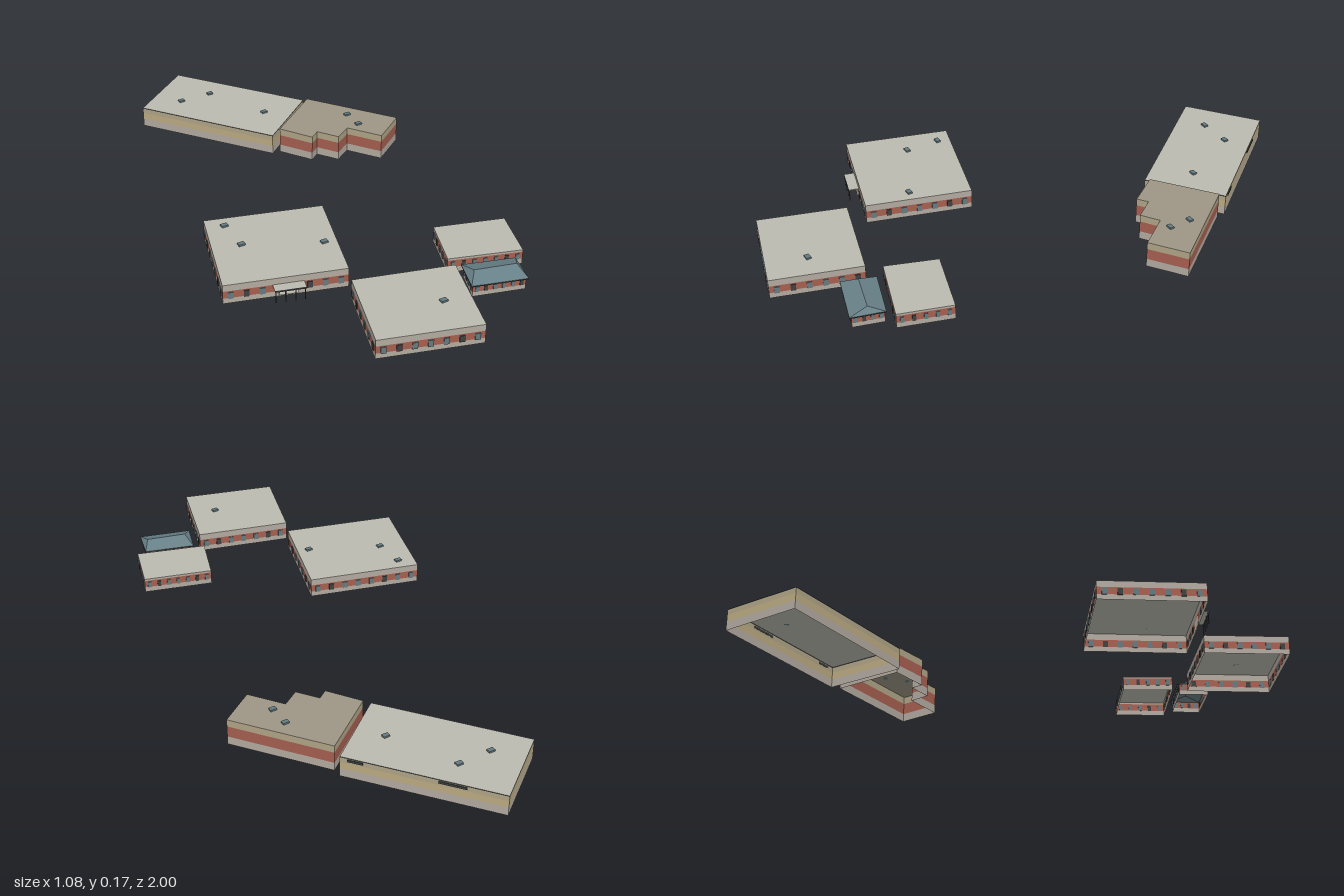
import * as THREE from 'three';

const mat = (name, color, double = true) => {
  const m = new THREE.MeshStandardMaterial({ color, side: double ? THREE.DoubleSide : THREE.FrontSide });
  m.name = name;
  return m;
};

export function createModel() {
  const M = {
    wall: mat('wallGrey', 0xb2aaa0),
    brick: mat('brickRed', 0xa65f50),
    tan: mat('tan', 0xbcab82),
    khaki: mat('khaki', 0xb0a487),
    roof: mat('roofGrey', 0xbbbab0),
    brownRoof: mat('roofBrown', 0x9d9686),
    slate: mat('slateBlue', 0x688087),
    glass: mat('windowGlass', 0x647a80),
    dark: mat('darkTrim', 0x3f4242),
    white: mat('entranceWhite', 0xcfcdc2),
  };
  const model = new THREE.Group();

  const add = (parent, name, geo, material) => {
    const mesh = new THREE.Mesh(geo, material);
    mesh.name = name;
    parent.add(mesh);
    return mesh;
  };
  const faces = (tris) => {
    const g = new THREE.BufferGeometry();
    g.setAttribute('position', new THREE.Float32BufferAttribute(tris.flat(), 3));
    g.computeVertexNormals();
    return g;
  };
  // Ring of upright wall faces following a footprint of [x, z] corners
  const band = (poly, y0, y1) => {
    const t = [];
    poly.forEach(([x, z], i) => {
      const [u, w] = poly[(i + 1) % poly.length];
      t.push([x, y0, z], [u, y0, w], [u, y1, w], [x, y0, z], [u, y1, w], [x, y1, z]);
    });
    return faces(t);
  };
  const flatRoof = (poly, y) => {
    const s = new THREE.Shape(poly.map(([x, z]) => new THREE.Vector2(x, -z)));
    return new THREE.ShapeGeometry(s).rotateX(-Math.PI / 2).translate(0, y, 0);
  };
  // Thin box on the wall p -> q, at distance d along it and o outwards
  const onWall = (parent, name, p, q, d, o, y, size, material) => {
    const dx = q[0] - p[0], dz = q[1] - p[1], len = Math.hypot(dx, dz);
    const mesh = add(parent, name, new THREE.BoxGeometry(...size), material);
    mesh.position.set(p[0] + (dx * d - dz * o) / len, y, p[1] + (dz * d + dx * o) / len);
    mesh.rotation.y = Math.atan2(-dz, dx);
    return mesh;
  };
  const building = ({ name, poly, bands, roof, vents = [] }) => {
    const g = new THREE.Group();
    g.name = name;
    bands.forEach(([y0, y1, m]) => add(g, 'wallBand', band(poly, y0, y1), m));
    const top = bands[bands.length - 1][1];
    if (roof) add(g, 'roof', flatRoof(poly, top), roof);
    vents.forEach(([x, z]) =>
      add(g, 'roofVent', new THREE.BoxGeometry(0.022, 0.006, 0.016), M.glass).position.set(x, top + 0.003, z));
    model.add(g);
    return g;
  };
  // Evenly spaced windows, with a dark door at every sixth place
  const windows = (g, poly, step, w, y, h, skip = () => false) => {
    poly.forEach((p, e) => {
      const q = poly[(e + 1) % poly.length];
      const len = Math.hypot(q[0] - p[0], q[1] - p[1]);
      const n = Math.floor(len / step);
      for (let i = 0; i < n; i++) {
        const d = (i + 0.5) * len / n;
        if (skip(e, d)) continue;
        const door = i % 4 === 1;
        onWall(g, door ? 'door' : 'window', p, q, d, 0.001, y, [w, h, 0.004], door ? M.dark : M.glass);
      }
    });
  };

  // Long rear hall
  const hall = [[-0.01, -1], [-0.24, -0.825], [0.09, -0.4], [0.32, -0.58]];
  const hallGroup = building({
    name: 'rearHall', poly: hall, roof: M.roof,
    bands: [[0, 0.03, M.wall], [0.03, 0.055, M.tan], [0.055, 0.073, M.khaki], [0.073, 0.076, M.dark]],
    vents: [[-0.09, -0.8], [0.03, -0.8], [0.145, -0.57]],
  });
  [[0.05, 0.05], [0.36, 0.09]].forEach(([d, w]) =>
    onWall(hallGroup, 'highWindow', hall[3], hall[0], d, 0.001, 0.067, [w, 0.008, 0.004], M.dark));

  // Stepped annex beside the hall
  building({
    name: 'steppedAnnex', roof: M.brownRoof,
    poly: [[0.32, -0.55], [0.12, -0.4], [0.195, -0.29], [0.23, -0.315], [0.28, -0.245],
      [0.34, -0.285], [0.42, -0.175], [0.54, -0.26]],
    bands: [[0, 0.03, M.wall], [0.03, 0.07, M.brick], [0.07, 0.096, M.khaki]],
    vents: [[0.39, -0.37], [0.39, -0.29]],
  });

  // Three square brick blocks on the higher level
  const brickBands = (top) => [[0.1, 0.119, M.wall], [0.119, 0.145, M.brick], [0.145, top, M.wall]];
  const west = [[-0.435, 0.105], [-0.54, 0.45], [-0.16, 0.56], [-0.055, 0.215]];
  const westGroup = building({
    name: 'westBlock', poly: west, roof: M.roof, bands: brickBands(0.168),
    vents: [[-0.39, 0.165], [-0.39, 0.285], [-0.155, 0.4]],
  });
  windows(westGroup, west, 0.046, 0.017, 0.129, 0.023, (e, d) => e === 1 && d > 0.13 && d < 0.27);

  const south = [[-0.185, 0.615], [-0.275, 0.9], [0.045, 0.995], [0.135, 0.705]];
  windows(building({
    name: 'southBlock', poly: south, roof: M.roof, bands: brickBands(0.168), vents: [[0, 0.84]],
  }), south, 0.046, 0.017, 0.129, 0.023);

  const east = [[0.205, 0.48], [0.145, 0.65], [0.38, 0.725], [0.435, 0.55]];
  windows(building({
    name: 'eastBlock', poly: east, roof: M.roof, bands: brickBands(0.152),
  }), east, 0.034, 0.012, 0.129, 0.021);

  // Entrance with canopy and posts on the west block
  const [p, q] = [west[1], west[2]];
  onWall(westGroup, 'entranceDoor', p, q, 0.205, 0.002, 0.123, [0.06, 0.034, 0.005], M.white);
  onWall(westGroup, 'canopy', p, q, 0.205, 0.017, 0.144, [0.1, 0.003, 0.034], M.roof);
  onWall(westGroup, 'canopyEdge', p, q, 0.205, 0.034, 0.143, [0.1, 0.005, 0.002], M.dark);
  [-0.046, -0.016, 0.016, 0.046].forEach((s) =>
    onWall(westGroup, 'canopyPost', p, q, 0.205 + s, 0.032, 0.121, [0.003, 0.042, 0.003], M.dark));

  // Small pavilion with a hipped roof
  const eave = [[0.172, 0.685], [0.135, 0.795], [0.312, 0.847], [0.342, 0.737]];
  const inset = eave.map(([x, z]) => [0.24 + (x - 0.24) * 0.94, 0.766 + (z - 0.766) * 0.9]);
  const pavilion = building({
    name: 'pavilion', poly: inset,
    bands: [[0.1, 0.117, M.wall], [0.117, 0.141, M.brick]],
  });
  windows(pavilion, inset, 0.025, 0.011, 0.127, 0.018);
  add(pavilion, 'eaveTrim', band(eave, 0.139, 0.143), M.dark);
  const [a, b, c, d] = eave.map(([x, z]) => [x, 0.143, z]);
  const r = [0.175, 0.162, 0.749], s = [0.31, 0.162, 0.785];
  add(pavilion, 'hippedRoof', faces([a, b, r, b, c, s, b, s, r, c, d, s, d, a, r, d, r, s]), M.slate);

  return model;
}
